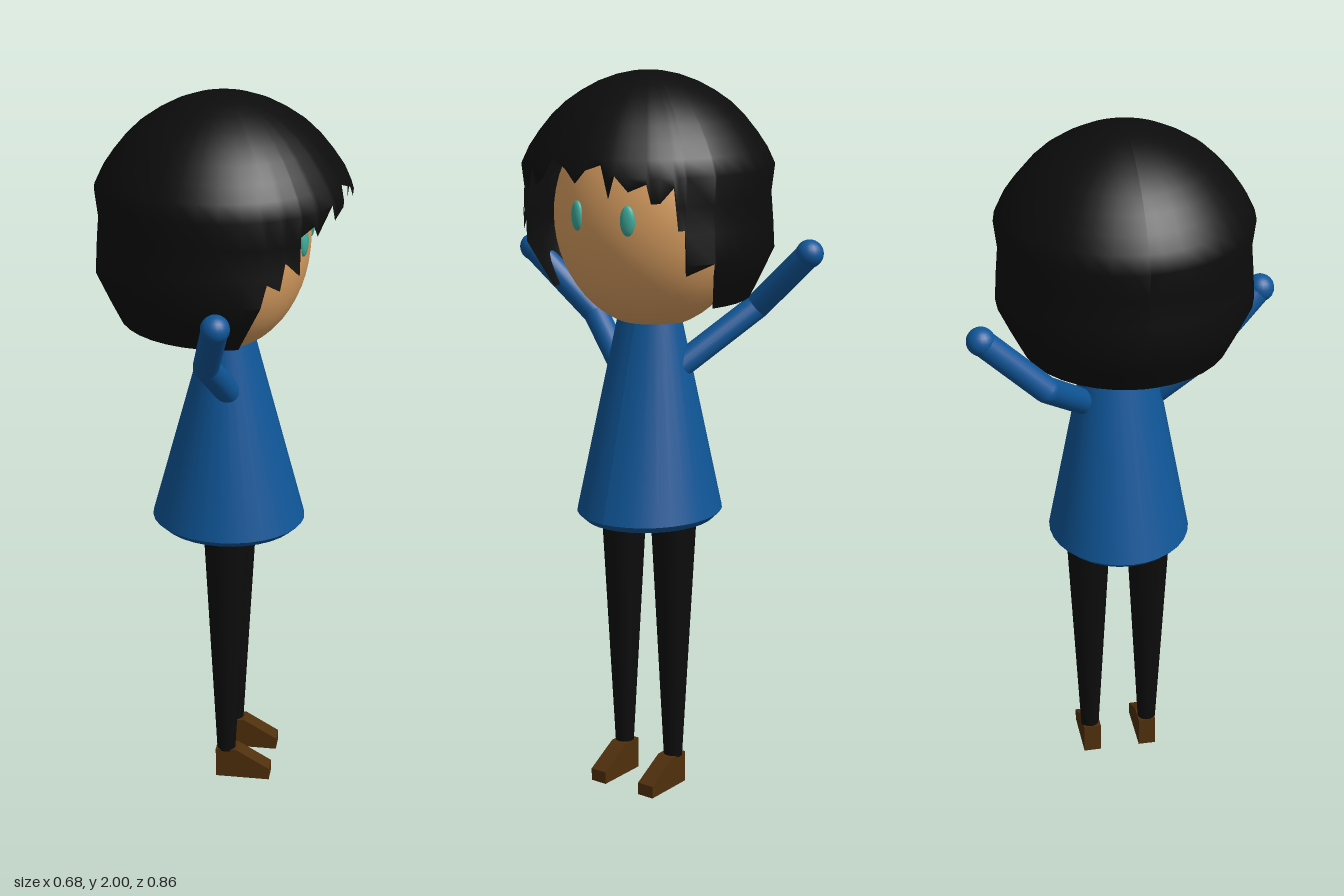
import * as THREE from 'three';

const mat = (name, color, side = THREE.FrontSide) => {
  const m = new THREE.MeshStandardMaterial({ color, side });
  m.name = name;
  return m;
};

// Surface from a grid of points: rows of equal length
function gridGeometry(rows) {
  const n = rows[0].length;
  const index = [];
  for (let i = 0; i < rows.length - 1; i++) {
    for (let j = 0; j < n - 1; j++) {
      const a = i * n + j, b = a + n;
      index.push(a, a + 1, b, a + 1, b + 1, b);
    }
  }
  const g = new THREE.BufferGeometry();
  g.setAttribute('position', new THREE.Float32BufferAttribute(rows.flat(2), 3));
  g.setIndex(index);
  g.computeVertexNormals();
  return g;
}

// Linear interpolation through [key, value] pairs with rising keys
function lerpTable(table, key) {
  for (let i = 1; i < table.length; i++) {
    const [k0, v0] = table[i - 1], [k1, v1] = table[i];
    if (key <= k1) return v0 + (v1 - v0) * (key - k0) / (k1 - k0);
  }
  return table[table.length - 1][1];
}

// Hair: a round shell whose lower edge is cut into a jagged fringe
function hairGeometry() {
  // [height, radius]
  const profile = [
    [1.4, 0.278], [1.465, 0.31], [1.53, 0.34], [1.605, 0.336], [1.68, 0.33], [1.755, 0.339],
    [1.8, 0.318], [1.84, 0.291], [1.88, 0.259], [1.915, 0.223], [1.945, 0.18],
    [1.97, 0.134], [1.988, 0.085], [1.997, 0.042], [2, 0],
  ];
  // [angle from the face in degrees, height of the cut]
  const edge = [
    [-180, 1.4], [-74, 1.4], [-68, 1.5], [-67, 1.53], [-54, 1.5], [-53, 1.62], [-50, 1.62],
    [-48, 1.73], [-42, 1.69], [-38, 1.69], [-36, 1.74], [-28, 1.72], [-22, 1.76], [-19, 1.7],
    [-15, 1.785], [-8, 1.77], [-3, 1.735], [3, 1.77], [13, 1.79], [17, 1.74], [24, 1.715],
    [27, 1.76], [36, 1.69], [39, 1.72], [46, 1.7], [47, 1.6], [54, 1.64], [57, 1.57],
    [63, 1.59], [66, 1.53], [74, 1.4], [180, 1.4],
  ];
  const angles = edge.map(e => e[0]);
  for (let a = 84; a < 180; a += 10) angles.push(a, -a);
  angles.sort((a, b) => a - b);
  const rows = profile.slice().reverse().map(([y]) => angles.map(a => {
    const h = Math.max(y, lerpTable(edge, a));
    const r = lerpTable(profile, h), t = THREE.MathUtils.degToRad(a);
    return [r * Math.cos(t), h, 0.014 + r * Math.sin(t)];
  }));
  return gridGeometry(rows);
}

// Tunic: oval cone, closed below by a shallow dome
function tunicGeometry() {
  const sides = 32;
  const ring = (y, rx, rz, cx) => Array.from({ length: sides + 1 }, (_, i) => {
    const t = -i / sides * Math.PI * 2;
    return [cx + rx * Math.cos(t), y, rz * Math.sin(t)];
  });
  const wall = gridGeometry([[0.8, 0.212, 0.195, 0.012], [1.335, 0.068, 0.098, 0.012]].map(r => ring(...r)));
  const dome = gridGeometry([0.001, 0.35, 0.7, 0.9, 1].map(
    k => ring(0.8 - 0.045 * Math.sqrt(1 - k * k), 0.212 * k, 0.195 * k, 0.012)));
  return [wall, dome];
}

export function createModel() {
  const model = new THREE.Group();
  model.name = 'figure';
  const black = mat('black', 0x0c0c0c, THREE.DoubleSide);
  const blue = mat('blue', 0x0f5698, THREE.DoubleSide);
  const skin = mat('skin', 0xdca062);
  const brown = mat('brown', 0x4f2f0c);
  const teal = mat('teal', 0x40ac9c);

  const add = (name, geometry, material, x = 0, y = 0, z = 0, parent = model) => {
    const mesh = new THREE.Mesh(geometry, material);
    mesh.name = name;
    mesh.position.set(x, y, z);
    parent.add(mesh);
    return mesh;
  };

  // Head and hair
  add('head', new THREE.SphereGeometry(1, 40, 28), skin, 0, 1.615, 0.005).scale.set(0.23, 0.305, 0.28);
  add('hair', hairGeometry(), black);

  // Tunic
  const [wall, dome] = tunicGeometry();
  add('tunic', wall, blue);
  add('tunicBottom', dome, blue);

  // Shoe outline seen from the side
  const shoe = new THREE.Shape([[-0.01, 0], [0.145, 0], [0.145, 0.035], [0.05, 0.09], [-0.01, 0.09]]
    .map(p => new THREE.Vector2(...p)));
  const shoeGeometry = new THREE.ExtrudeGeometry(shoe, { depth: 0.05, bevelEnabled: false });
  shoeGeometry.translate(0, 0, -0.025);
  const legGeometry = new THREE.CylinderGeometry(0.066, 0.026, 0.75, 24);
  const eyeGeometry = new THREE.SphereGeometry(1, 20, 14);

  // Eyes, legs and shoes on both sides
  for (const [side, s] of [['right', 1], ['left', -1]]) {
    const eye = add(side + 'Eye', eyeGeometry, teal, 0.219, 1.632, s * 0.083);
    eye.scale.set(0.012, 0.04, 0.021);
    eye.rotation.y = -s * 0.25;
    add(side + 'Leg', legGeometry, black, 0.018, 0.46, s * 0.086);
    add(side + 'Shoe', shoeGeometry, brown, 0, 0, s * 0.083);
  }

  // Raised arms: shoulder, elbow, hand
  const up = new THREE.Vector3(0, 1, 0);
  const arms = {
    rightArm: [[0.022, 1.21, 0.1], [-0.018, 1.32, 0.21], [0.033, 1.495, 0.39]],
    leftArm: [[0, 1.21, -0.09], [-0.175, 1.365, -0.225], [-0.175, 1.525, -0.39]],
  };
  for (const [name, joints] of Object.entries(arms)) {
    const arm = new THREE.Group();
    arm.name = name;
    model.add(arm);
    const p = joints.map(j => new THREE.Vector3(...j));
    ['shoulder', 'elbow', 'hand'].forEach((joint, i) =>
      add(joint, new THREE.SphereGeometry(i === 2 ? 0.038 : 0.035, 20, 14), blue, ...joints[i], arm));
    ['upperArm', 'forearm'].forEach((part, i) => {
      const d = p[i + 1].clone().sub(p[i]);
      const mid = p[i].clone().add(p[i + 1]).multiplyScalar(0.5);
      const mesh = add(part, new THREE.CylinderGeometry(0.035, 0.035, d.length(), 20), blue, mid.x, mid.y, mid.z, arm);
      mesh.quaternion.setFromUnitVectors(up, d.normalize());
    });
  }
  return model;
}
